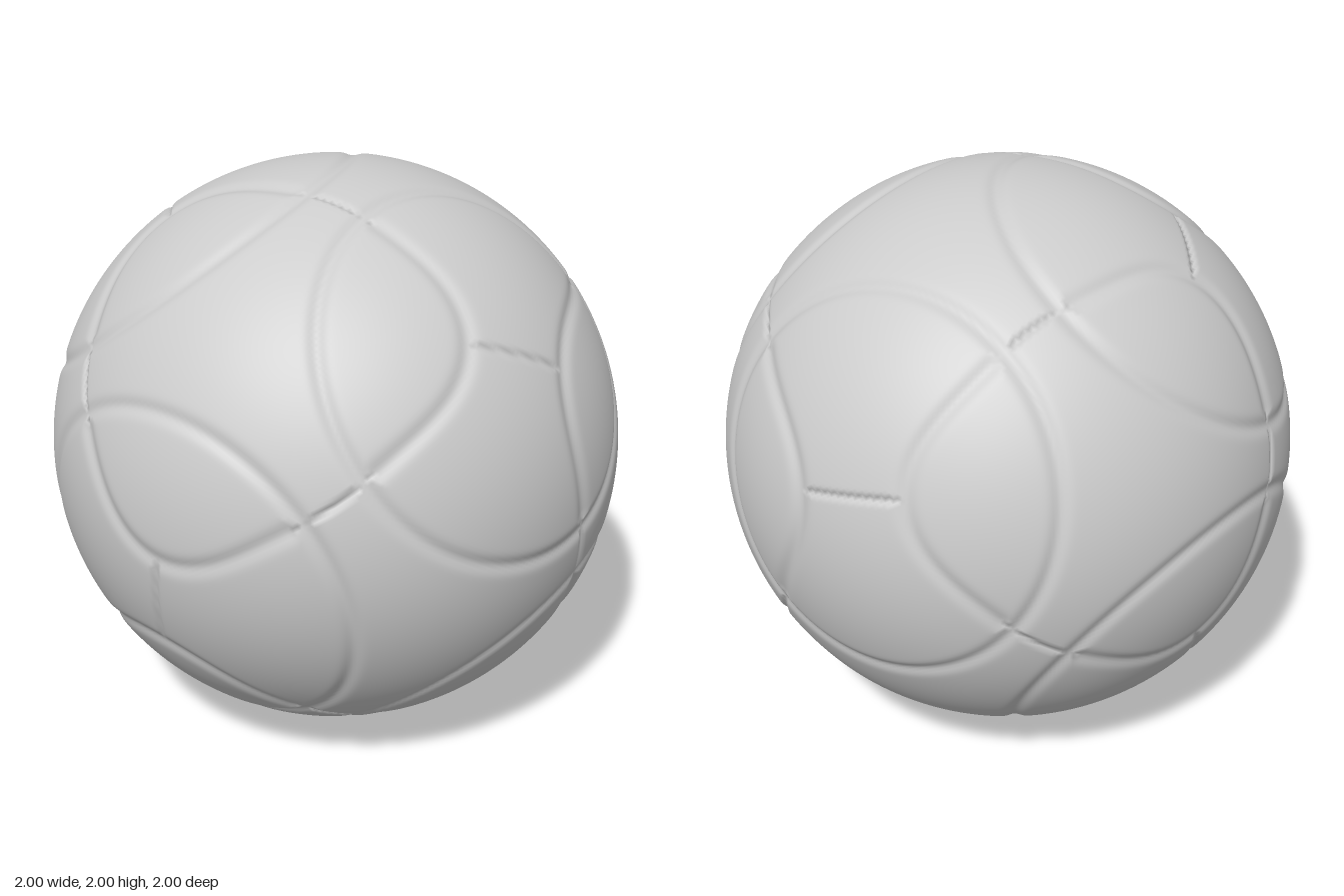
import * as THREE from 'three';
import { mergeVertices } from 'three/addons/utils/BufferGeometryUtils.js';

const rad = THREE.MathUtils.degToRad;
const V = (x, y, z) => new THREE.Vector3(x, y, z);

// Four tetrahedral axes: each carries a rounded triangular panel
const TILT = 42;
const axes = [V(1, 0, 0)];
for (let k = 0; k < 3; k++) {
  const a = rad(TILT + 120 * k);
  axes.push(V(-1 / 3, Math.sin(a) * Math.sqrt(8) / 3, Math.cos(a) * Math.sqrt(8) / 3));
}

// Tangent frame of each triangle, first direction pointing at a corner
const frames = axes.map((t, i) => {
  const u = axes[(i + 1) % 4].clone().addScaledVector(t, -axes[(i + 1) % 4].dot(t)).normalize();
  return { u, v: t.clone().cross(u) };
});

// Six edge midpoints: each has a short straight seam inside a circular groove
const hubs = [];
for (let i = 0; i < 4; i++) {
  for (let j = i + 1; j < 4; j++) {
    const centre = axes[i].clone().add(axes[j]).normalize();
    const along = axes[i].clone().sub(axes[j]).normalize();
    hubs.push({ centre, along, across: centre.clone().cross(along) });
  }
}

const CIRCLE = rad(38.6);
const SEAM_END = Math.sin(rad(11.4));
const angle = (a, b) => Math.acos(THREE.MathUtils.clamp(a.dot(b), -1, 1));
const bump = (d, width) => Math.exp(-((d / width) ** 2));

function nearest(p, list, sign) {
  let best = 0;
  for (let i = 1; i < list.length; i++) {
    if (sign * p.dot(list[i]) > sign * p.dot(list[best])) best = i;
  }
  return best;
}

// Signed angular distance to the outline of the nearest rounded triangle
function triangleDistance(p) {
  const i = nearest(p, axes, 1);
  const phi = Math.atan2(p.dot(frames[i].v), p.dot(frames[i].u));
  const edge = rad(38.52 + 4.05 * Math.cos(3 * phi) + 0.78 * Math.cos(6 * phi));
  return angle(p, axes[i]) - edge;
}

// Groove depth at a point of the unit sphere
function depth(p) {
  const tri = triangleDistance(p);
  let groove = 0.011 * bump(tri, 0.012);
  for (const { centre, along, across } of hubs) {
    if (p.dot(centre) < 0.5) continue;
    const ring = angle(p, centre) - CIRCLE;
    const inside = 1 - THREE.MathUtils.smoothstep(ring, -0.06, 0.02);
    groove = Math.max(groove, 0.011 * bump(ring, 0.026), 0.011 * inside * bump(tri, 0.03));
    if (Math.abs(p.dot(along)) < SEAM_END) {
      groove = Math.max(groove, 0.011 * bump(p.dot(across), 0.012));
    }
  }
  return groove;
}

const surface = (p) => p.clone().multiplyScalar(1 - depth(p));

// Whole ball: fine sphere pressed in along seams and grooves, with exact normals
function ballGeometry() {
  let geo = new THREE.IcosahedronGeometry(1, 80);
  geo.deleteAttribute('uv');
  geo.deleteAttribute('normal');
  geo = mergeVertices(geo, 1e-5);
  const pos = geo.attributes.position;
  const normals = new Float32Array(pos.count * 3);
  const p = V(0, 0, 0);
  const step = 0.004;
  for (let i = 0; i < pos.count; i++) {
    p.fromBufferAttribute(pos, i).normalize();
    const u = V(0, 0, 0).crossVectors(Math.abs(p.y) < 0.9 ? V(0, 1, 0) : V(1, 0, 0), p).normalize();
    const w = p.clone().cross(u);
    const slope = (d) =>
      surface(p.clone().addScaledVector(d, step).normalize())
        .sub(surface(p.clone().addScaledVector(d, -step).normalize()));
    slope(u).cross(slope(w)).normalize().toArray(normals, i * 3);
    const s = surface(p);
    pos.setXYZ(i, s.x, s.y, s.z);
  }
  geo.setAttribute('normal', new THREE.BufferAttribute(normals, 3));
  return geo;
}

export function createModel() {
  const group = new THREE.Group();
  group.name = 'ball';
  const material = new THREE.MeshStandardMaterial({ color: 0xcccccc });
  const ball = ballGeometry();
  const { position } = ball.attributes;
  const index = ball.index.array;

  // Sort the faces into four triangular and four three-armed panels
  const faces = Array.from({ length: 8 }, () => []);
  const a = V(0, 0, 0), b = V(0, 0, 0), c = V(0, 0, 0);
  for (let f = 0; f < index.length; f += 3) {
    a.fromBufferAttribute(position, index[f]);
    b.fromBufferAttribute(position, index[f + 1]);
    c.fromBufferAttribute(position, index[f + 2]);
    a.add(b).add(c).normalize();
    const panel = triangleDistance(a) < 0 ? nearest(a, axes, 1) : 4 + nearest(a, axes, -1);
    faces[panel].push(index[f], index[f + 1], index[f + 2]);
  }

  faces.forEach((list, i) => {
    const part = new THREE.BufferGeometry();
    part.setAttribute('position', position);
    part.setAttribute('normal', ball.attributes.normal);
    part.setIndex(list);
    const mesh = new THREE.Mesh(mergeVertices(part.toNonIndexed(), 1e-5), material);
    mesh.name = i < 4 ? `trianglePanel${i + 1}` : `threeArmPanel${i - 3}`;
    group.add(mesh);
  });

  group.position.y = 1;
  return group;
}
